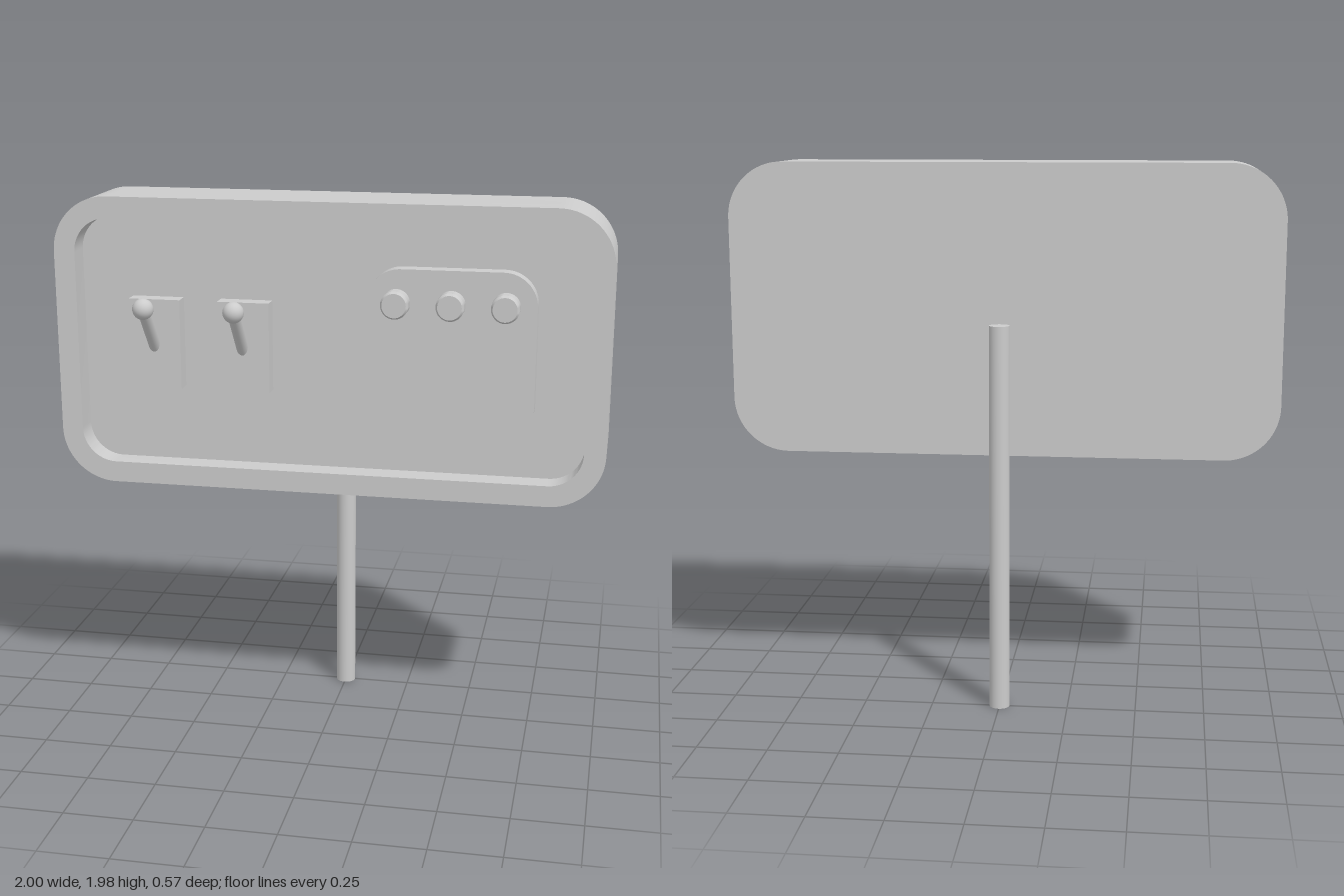
import * as THREE from 'three';
import { toCreasedNormals } from 'three/addons/utils/BufferGeometryUtils.js';

const grey = new THREE.MeshStandardMaterial({ color: 0xcccccc });

function add(parent, name, geometry, x = 0, y = 0, z = 0) {
  const mesh = new THREE.Mesh(geometry, grey);
  mesh.name = name;
  mesh.position.set(x, y, z);
  parent.add(mesh);
  return mesh;
}

// Rounded rectangle centred on the origin
function roundedRect(w, h, r, Type = THREE.Shape) {
  const s = new Type();
  const x = w / 2 - r, y = h / 2 - r;
  s.absarc(x, y, r, 0, Math.PI / 2);
  s.absarc(-x, y, r, Math.PI / 2, Math.PI);
  s.absarc(-x, -y, r, Math.PI, Math.PI * 1.5);
  s.absarc(x, -y, r, Math.PI * 1.5, Math.PI * 2);
  s.closePath();
  return s;
}

function slab(shape, depth) {
  const g = new THREE.ExtrudeGeometry(shape, { depth, bevelEnabled: false, curveSegments: 10 });
  return toCreasedNormals(g, 0.6);
}

// Cylinder between two points
function rod(from, to, radius) {
  const dir = to.clone().sub(from);
  const g = new THREE.CylinderGeometry(radius, radius, dir.length(), 20);
  g.applyQuaternion(new THREE.Quaternion().setFromUnitVectors(new THREE.Vector3(0, 1, 0), dir.normalize()));
  const mid = from.clone().add(to).multiplyScalar(0.5);
  return g.translate(mid.x, mid.y, mid.z);
}

export function createModel() {
  const model = new THREE.Group();
  model.name = 'controlPanel';
  const midY = 1.45, back = -0.13, floor = 0.07, front = 0.16, plateFront = 0.13;

  // Housing: solid back with a raised rim around the recessed face
  const housing = new THREE.Group();
  housing.name = 'housing';
  model.add(housing);
  add(housing, 'backCase', slab(roundedRect(2, 1.06, 0.2), floor - back), 0, midY, back);
  const rim = roundedRect(2, 1.06, 0.2);
  rim.holes.push(roundedRect(1.845, 0.905, 0.125, THREE.Path));
  add(housing, 'frontRim', slab(rim, front - floor), 0, midY, floor);

  // Support pole standing behind the housing
  add(model, 'pole', new THREE.CylinderGeometry(0.037, 0.037, 1.415, 32), 0, 0.7075, -0.248);

  // Toggle switches: plate, tilted lever and ball knob
  for (const x of [-0.645, -0.315]) {
    const toggle = new THREE.Group();
    toggle.name = 'toggleSwitch';
    toggle.position.x = x;
    model.add(toggle);
    add(toggle, 'switchPlate', new THREE.BoxGeometry(0.19, 0.33, plateFront - floor), 0.005, 1.445, (plateFront + floor) / 2);
    const tip = new THREE.Vector3(0, 1.597, 0.247);
    add(toggle, 'lever', rod(new THREE.Vector3(0, 1.42, 0.105), tip, 0.022));
    add(toggle, 'leverKnob', new THREE.SphereGeometry(0.038, 24, 16), tip.x, tip.y, tip.z);
  }

  // Rounded button panel
  add(model, 'buttonPanel', slab(roundedRect(0.6, 0.6, 0.12), plateFront - floor), 0.44, 1.45, floor);

  // Push buttons with chamfered edges
  const profile = [[0.05, 0], [0.05, 0.047], [0.043, 0.058], [0, 0.058]].map(([r, h]) => new THREE.Vector2(r, h));
  const buttonGeometry = toCreasedNormals(new THREE.LatheGeometry(profile, 32).rotateX(Math.PI / 2), 0.5);
  for (const x of [0.245, 0.44, 0.632]) add(model, 'button', buttonGeometry, x, 1.63, plateFront);

  return model;
}
